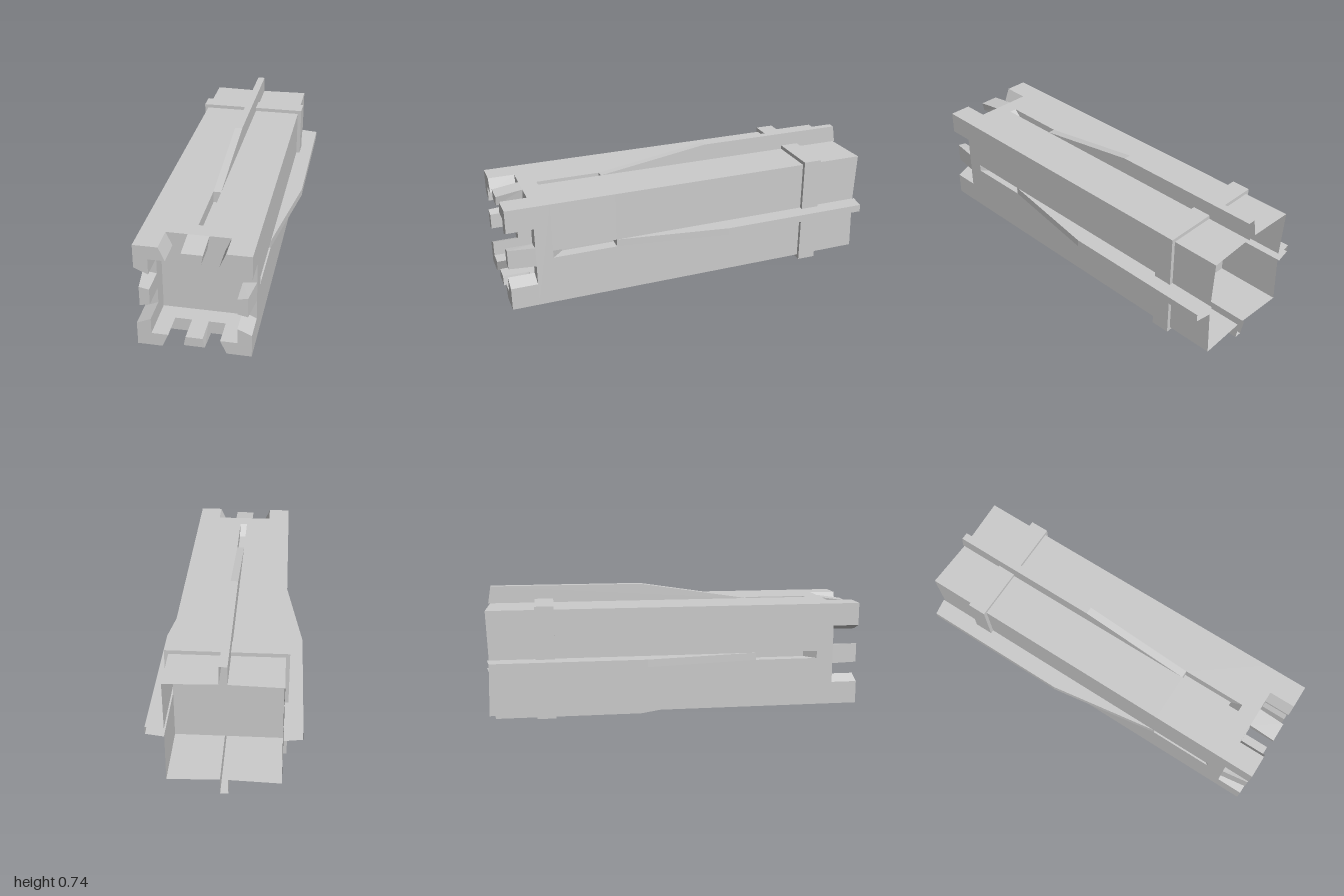
import * as THREE from 'three';

const R = 0.28, INNER = 0.21, FIN = 0.372, W = 0.02;
const solid = new THREE.MeshStandardMaterial({ color: 0xcccccc, flatShading: true });
const thin = new THREE.MeshStandardMaterial({ color: 0xcccccc, flatShading: true, side: THREE.DoubleSide });

const vec = (pts) => pts.map(([x, y]) => new THREE.Vector2(x, y));
const square = (r) => [[-r, -r], [r, -r], [r, r], [-r, r]];

function add(parent, name, geometry, material = solid) {
  const mesh = new THREE.Mesh(geometry, material);
  mesh.name = name;
  parent.add(mesh);
  return mesh;
}

// Cross-section extruded from z0 to z1
function prism(outline, z0, z1, hole) {
  const shape = new THREE.Shape(vec(outline));
  if (hole) shape.holes.push(new THREE.Path(vec(hole)));
  return new THREE.ExtrudeGeometry(shape, { depth: z1 - z0, bevelEnabled: false }).translate(0, 0, z0);
}

// Flat convex sheets, each given by its corners
function sheets(...polygons) {
  const pos = [];
  for (const p of polygons)
    for (let i = 1; i < p.length - 1; i++) pos.push(...p[0], ...p[i], ...p[i + 1]);
  const g = new THREE.BufferGeometry();
  g.setAttribute('position', new THREE.Float32BufferAttribute(pos, 3));
  g.computeVertexNormals();
  return g;
}

// Square section with a groove in the middle of each side
function groovedSquare(depth) {
  const pts = [];
  const side = [[R, R], [W, R], [W, R - depth], [-W, R - depth], [-W, R]];
  for (let k = 0; k < 4; k++) {
    const c = Math.round(Math.cos(k * Math.PI / 2)), s = Math.round(Math.sin(k * Math.PI / 2));
    for (const [x, y] of side) pts.push([x * c - y * s, x * s + y * c]);
  }
  return pts;
}

// Everything on one of the four sides, built as the top side
function buildSide() {
  const g = new THREE.Group();

  // Corner prong, shared with the next side
  add(g, 'cornerProng', prism([[R, 0.158], [R, R], [0.158, R], [0.127, INNER], [INNER, INNER], [INNER, 0.127]], 0.86, 1));

  // Centre prong with its outer face sloping down towards the tip
  const prong = prism([[-0.042, INNER], [0.042, INNER], [0.052, R], [-0.052, R]], 0.86, 1).toNonIndexed();
  const p = prong.attributes.position;
  for (let i = 0; i < p.count; i++)
    if (p.getY(i) > 0.25 && p.getZ(i) > 0.95) p.setY(i, 0.26);
  prong.computeVertexNormals();
  add(g, 'centreProng', prong);

  // Sloped front end of the slot
  add(g, 'slotRamp', sheets([[-W, R, 0.77], [W, R, 0.77], [W, 0.22, 0.71], [-W, 0.22, 0.71]]), thin);

  // Hollow fin, open at the rear and inwards
  const profile = [[R, 0.43], [FIN, -0.17], [FIN, -0.985], [R, -1]];
  const wall = (x) => profile.map(([y, z]) => [x, y, z]);
  const l = wall(-W), r = wall(W);
  add(g, 'fin', sheets(l, r, [l[0], r[0], r[1], l[1]], [l[1], r[1], r[2], l[2]]), thin);

  // Thin rear skin on both sides of the fin
  const skin = (s) => [[s * W, R, -0.65], [s * R, R, -0.65], [s * R, R, -1], [s * W, R, -0.99]];
  add(g, 'rearSkin', sheets(skin(-1), skin(1)), thin);

  // Corner piece of the raised band
  const B = 0.3;
  add(g, 'bandCorner', prism([[R, W], [B, W], [B, B], [W, B], [W, R], [R, R]], -0.75, -0.65));
  return g;
}

export function createModel() {
  const model = new THREE.Group();
  model.name = 'finnedSquareTube';
  model.position.y = FIN;

  // Main body, slotted length and open front frame
  add(model, 'body', prism(square(R), -0.65, 0.43));
  add(model, 'slottedBody', prism(groovedSquare(0.06), 0.43, 0.77));
  add(model, 'frontFrame', prism(square(R), 0.77, 0.86, square(INNER)));

  ['top', 'left', 'bottom', 'right'].forEach((name, k) => {
    const side = buildSide();
    side.name = name + 'Side';
    side.rotation.z = -k * Math.PI / 2;
    model.add(side);
  });

  const root = new THREE.Group();
  root.add(model);
  return root;
}
